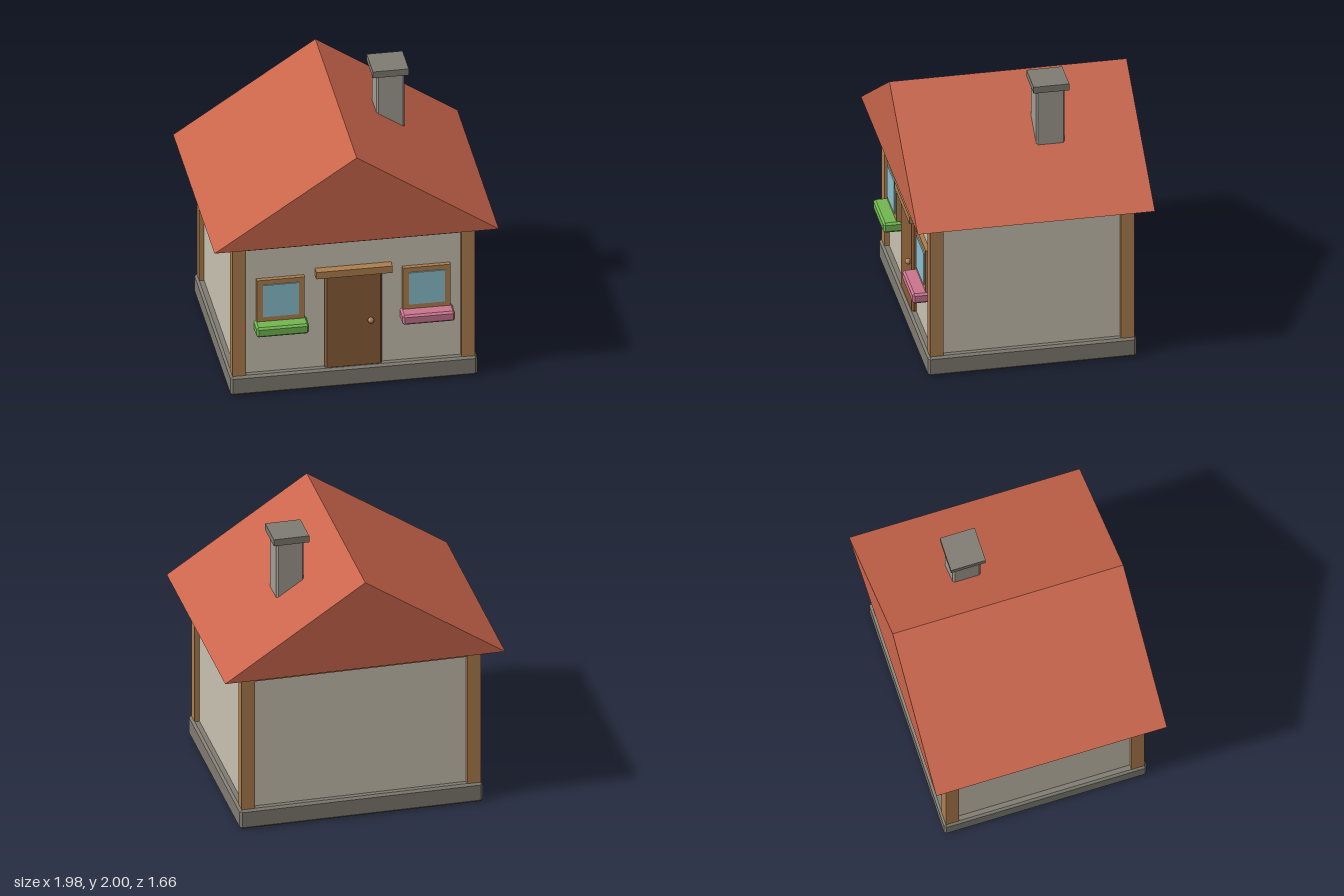
import * as THREE from 'three';
import { ConvexGeometry } from 'three/addons/geometries/ConvexGeometry.js';

const mat = (name, color) => {
  const m = new THREE.MeshStandardMaterial({ color });
  m.name = name;
  return m;
};

export function createModel() {
  const house = new THREE.Group();
  house.name = 'cottage';

  const wall = mat('plaster', 0xc9c2b2);
  const timber = mat('timber', 0xb08050);
  const doorWood = mat('door wood', 0x8b5e38);
  const stone = mat('dark stone', 0x807c72);
  const brick = mat('chimney stone', 0xa39e94);
  const tile = mat('roof red', 0xc9654b);
  const glass = mat('window glass', 0x8ac0ce);
  const green = mat('green planter', 0x72b850);
  const pink = mat('pink planter', 0xcb7590);

  const add = (name, geometry, material, parent = house) => {
    const mesh = new THREE.Mesh(geometry, material);
    mesh.name = name;
    parent.add(mesh);
    return mesh;
  };

  // Box from its limits; a chamfer cuts every edge
  const box = (name, [x0, x1], [y0, y1], [z0, z1], material, chamfer = 0, parent = house) => {
    const w = (x1 - x0) / 2, h = (y1 - y0) / 2, d = (z1 - z0) / 2, c = chamfer;
    let geometry;
    if (c) {
      const points = [];
      for (const sx of [-1, 1]) for (const sy of [-1, 1]) for (const sz of [-1, 1]) {
        points.push(
          new THREE.Vector3(sx * w, sy * (h - c), sz * (d - c)),
          new THREE.Vector3(sx * (w - c), sy * h, sz * (d - c)),
          new THREE.Vector3(sx * (w - c), sy * (h - c), sz * d));
      }
      geometry = new ConvexGeometry(points);
    } else {
      geometry = new THREE.BoxGeometry(2 * w, 2 * h, 2 * d);
    }
    const mesh = add(name, geometry, material, parent);
    mesh.position.set((x0 + x1) / 2, (y0 + y1) / 2, (z0 + z1) / 2);
    return mesh;
  };

  // Foundation and walls
  box('foundation', [-0.86, 0.86], [0, 0.148], [-0.73, 0.73], stone, 0.016);
  box('walls', [-0.81, 0.81], [0.14, 1.2], [-0.68, 0.68], wall);

  // Corner posts and top beams
  for (const s of [-1, 1]) {
    for (const t of [-1, 1]) {
      const post = box('cornerPost', [0.75, 0.845], [0.133, 1.2], [0.62, 0.715], timber);
      post.position.x *= s;
      post.position.z *= t;
    }
    const long = box('topBeam', [-0.75, 0.75], [1.13, 1.2], [0.63, 0.713], timber);
    long.position.z *= s;
    const side = box('sideBeam', [0.76, 0.843], [1.13, 1.2], [-0.62, 0.62], timber);
    side.position.x *= s;
  }

  // Solid gable roof
  const gable = new THREE.Shape();
  gable.moveTo(-0.99, 1.2);
  gable.lineTo(0.99, 1.2);
  gable.lineTo(0, 1.86);
  gable.closePath();
  const roof = new THREE.ExtrudeGeometry(gable, { depth: 1.66, bevelEnabled: false });
  roof.translate(0, 0, -0.83);
  add('roof', roof, tile);

  // Chimney
  box('chimney', [0.3, 0.495], [1.4, 1.96], [-0.3, -0.1], brick, 0.012);
  box('chimneyCap', [0.27, 0.52], [1.95, 2], [-0.325, -0.075], stone);

  // Door
  box('door', [-0.2, 0.2], [0.138, 0.872], [0.66, 0.712], doorWood, 0.014);
  box('doorLintel', [-0.265, 0.265], [0.875, 0.928], [0.66, 0.742], timber);
  const knob = add('doorKnob', new THREE.SphereGeometry(0.023, 8, 6).rotateX(Math.PI / 2), timber);
  knob.position.set(0.118, 0.502, 0.722);

  // Windows with planters
  for (const [x, name, planterColor] of [[-0.508, 'rightWindow', green], [0.508, 'leftWindow', pink]]) {
    const win = new THREE.Group();
    win.name = name;
    win.position.x = x;
    house.add(win);
    box('windowFrame', [-0.166, 0.166], [0.555, 0.885], [0.67, 0.711], timber, 0, win);
    box('windowPane', [-0.125, 0.125], [0.598, 0.848], [0.71, 0.719], glass, 0, win);
    box('planter', [-0.183, 0.183], [0.484, 0.56], [0.67, 0.805], planterColor, 0.014, win);
  }

  return house;
}
